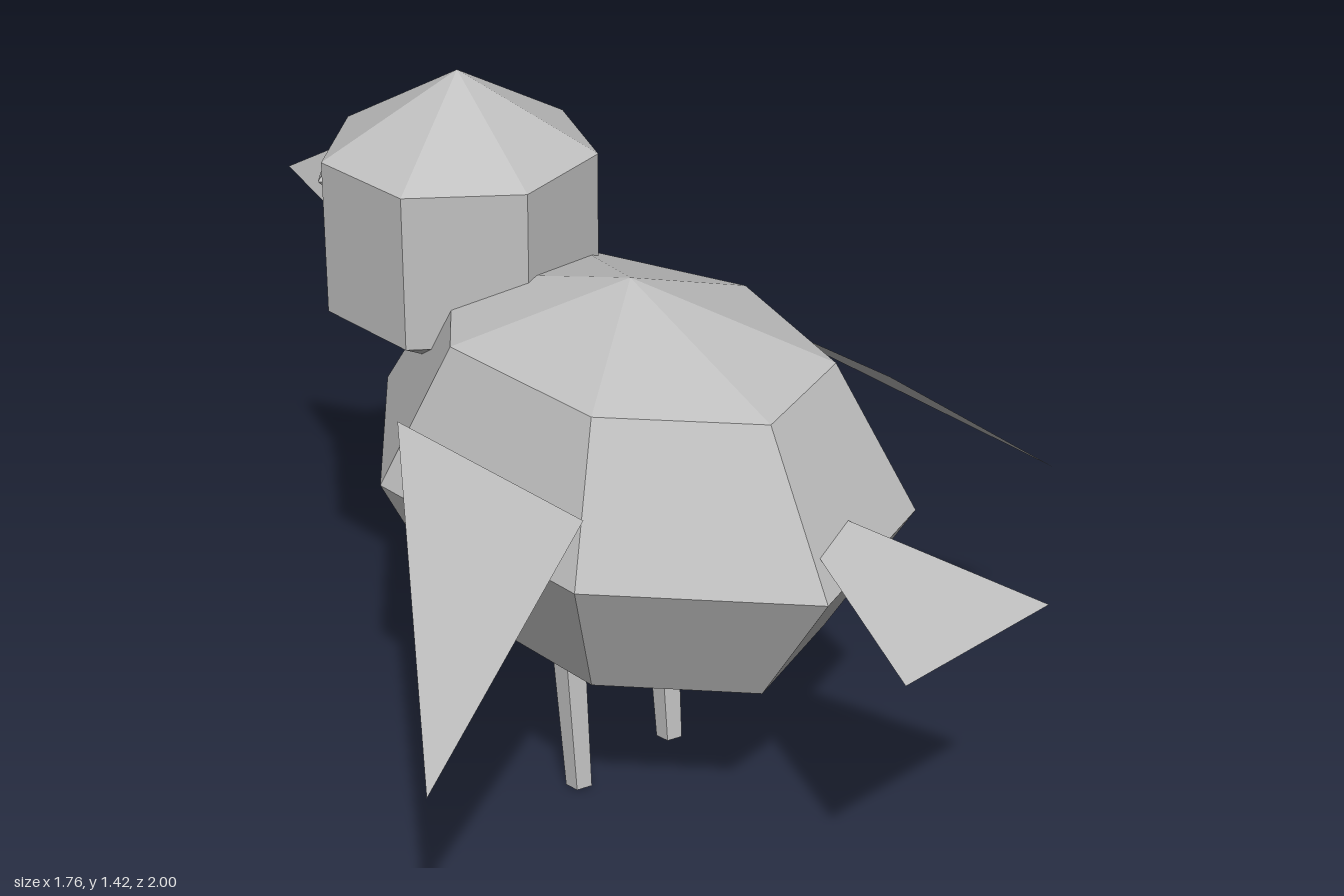
import * as THREE from 'three';

export function createModel() {
  const bird = new THREE.Group();
  bird.name = 'bird';

  const grey = new THREE.MeshStandardMaterial({ color: 0xc0c0c0, flatShading: true });
  grey.name = 'grey';
  const greySheet = new THREE.MeshStandardMaterial({ color: 0xc0c0c0, flatShading: true, side: THREE.DoubleSide });
  greySheet.name = 'grey sheet';

  const add = (name, geometry, material = grey) => {
    const mesh = new THREE.Mesh(geometry, material);
    mesh.name = name;
    bird.add(mesh);
    return mesh;
  };

  // Coarse ellipsoid with its first meridian on +x
  const blob = (name, segments, rings, radii, centre) => {
    const g = new THREE.SphereGeometry(1, segments, rings).rotateY(Math.PI);
    add(name, g.scale(...radii).translate(...centre));
  };

  // Single flat triangle
  const sheet = (name, corners) => {
    const g = new THREE.BufferGeometry().setFromPoints(corners.map(c => new THREE.Vector3(...c)));
    g.computeVertexNormals();
    add(name, g, greySheet);
  };

  // Tapered limb between two points
  const limb = (name, from, to, rFrom, rTo, sides, spin) => {
    const a = new THREE.Vector3(...from), b = new THREE.Vector3(...to);
    const d = b.clone().sub(a);
    const g = new THREE.CylinderGeometry(rTo, rFrom, d.length(), sides).rotateY(spin);
    const mesh = add(name, g);
    mesh.position.copy(a).add(b).multiplyScalar(0.5);
    mesh.quaternion.setFromUnitVectors(new THREE.Vector3(0, 1, 0), d.normalize());
  };

  // Body, breast and head
  blob('body', 7, 4, [0.46, 0.42, 0.655], [0, 0.717, 0.085]);
  blob('breast', 6, 3, [0.318, 0.25, 0.4], [0, 0.565, -0.1]);
  blob('head', 7, 3, [0.331, 0.331, 0.331], [0, 1.094, -0.42]);

  // Beak: four-sided cone tilted slightly down
  limb('beak', [0, 1.072, -0.713], [0, 1.036, -1], 0.12, 0, 4, 0);

  // Tail fan
  sheet('tail', [[-0.2, 0.717, 1], [0.2, 0.717, 1], [0, 0.827, 0.48]]);

  // Mirrored parts
  for (const s of [1, -1]) {
    const side = s > 0 ? 'left' : 'right';
    sheet(side + 'Wing', [[s * 0.42, 0.89, -0.13], [s * 0.42, 0.89, 0.4], [s * 0.88, 0.54, 0.485]]);
    add(side + 'Eye', new THREE.OctahedronGeometry(0.035).translate(s * 0.165, 1.172, -0.635));
    limb(side + 'Leg', [s * 0.133, 0.003, 0.078], [s * 0.133, 0.5, 0.034], 0.029, 0.04, 5, Math.PI / 2);
  }

  return bird;
}
